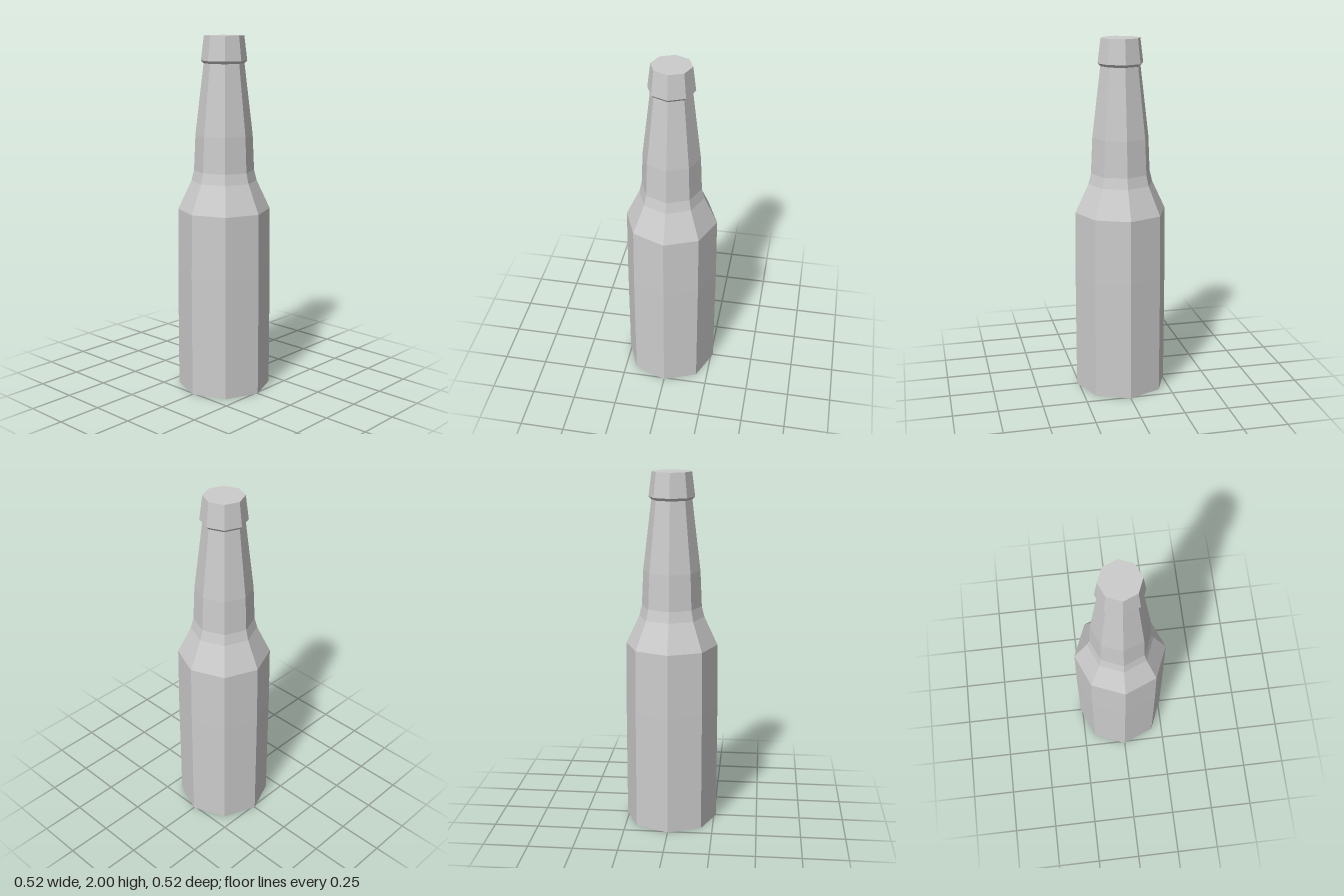
import * as THREE from 'three';

const SIDES = 8;

// Faceted, eight-sided turned part from [radius, height] pairs, bottom to top
function turned(name, profile, material) {
  const points = profile.map(([r, y]) => new THREE.Vector2(r, y));
  const mesh = new THREE.Mesh(new THREE.LatheGeometry(points, SIDES), material);
  mesh.name = name;
  return mesh;
}

export function createModel() {
  const group = new THREE.Group();
  group.name = 'bottle';
  const glass = new THREE.MeshStandardMaterial({
    color: 0xcccccc, flatShading: true, side: THREE.DoubleSide,
  });

  // Closed base and nearly straight body
  group.add(turned('body', [[0, 0], [0.262, 0], [0.262, 0.68], [0.258, 1.04]], glass));

  // Sloping shoulder
  group.add(turned('shoulder', [[0.258, 1.04], [0.183, 1.2], [0.168, 1.26]], glass));

  // Long tapering neck
  group.add(turned('neck', [[0.168, 1.26], [0.159, 1.46], [0.112, 1.85]], glass));

  // Flared lip with a closed top
  group.add(turned('lip', [[0.112, 1.85], [0.127, 1.865], [0.11, 2], [0, 2]], glass));

  return group;
}
